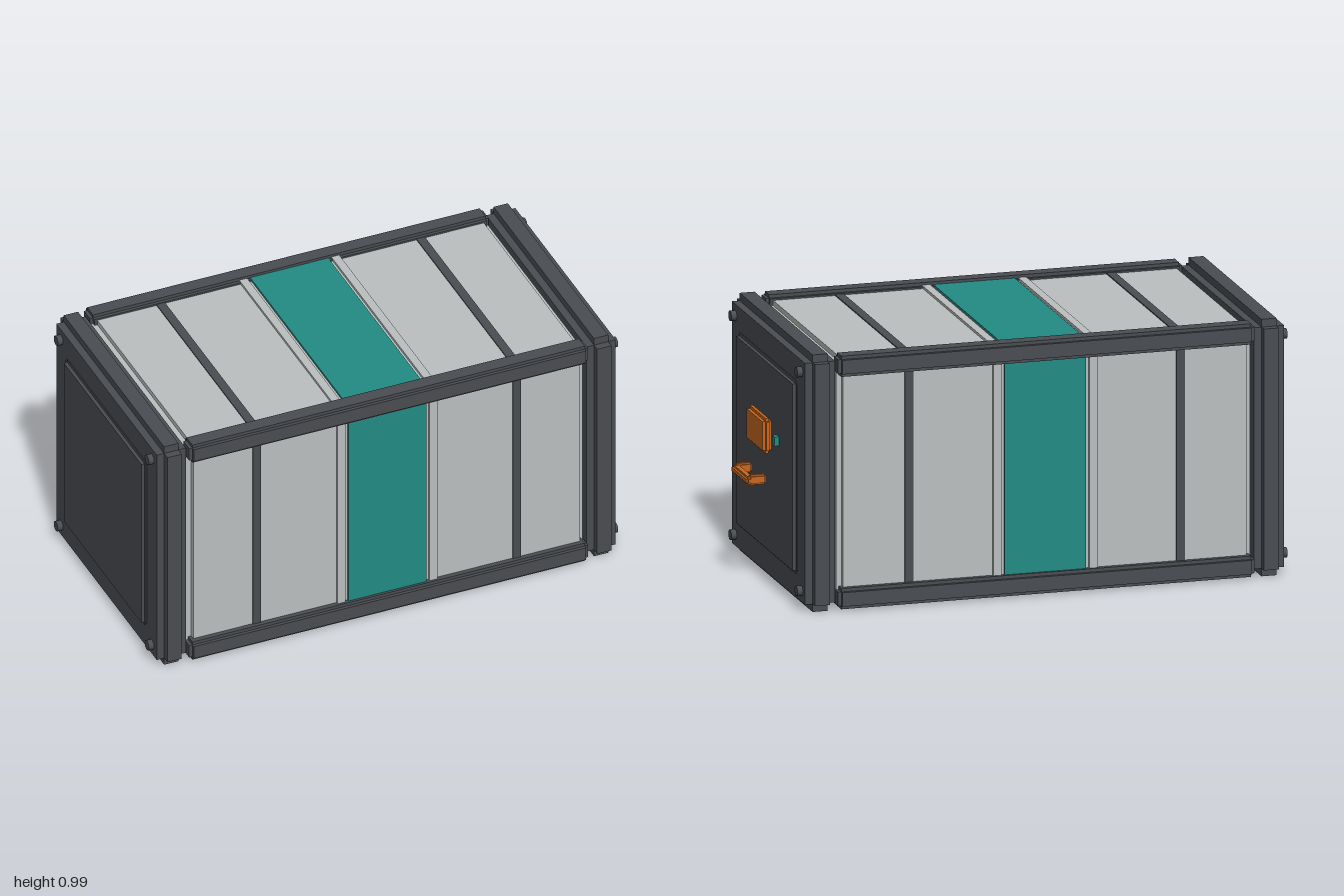
import * as THREE from 'three';
import { mergeGeometries } from 'three/addons/utils/BufferGeometryUtils.js';

const paint = (name, color) => {
  const m = new THREE.MeshStandardMaterial({ color });
  m.name = name;
  return m;
};

// Box with stepped edges: three crossing boxes, each trimmed by b on two axes
function steppedBox(w, h, d, b) {
  return mergeGeometries([
    new THREE.BoxGeometry(w, h - 2 * b, d - 2 * b),
    new THREE.BoxGeometry(w - 2 * b, h, d - 2 * b),
    new THREE.BoxGeometry(w - 2 * b, h - 2 * b, d),
  ]);
}

export function createModel() {
  const dark = paint('charcoal', 0x4a4d52);
  const light = paint('lightGrey', 0xbcc0c0);
  const teal = paint('teal', 0x238c85);
  const orange = paint('orange', 0xc96820);

  const model = new THREE.Group();
  model.name = 'cargoContainer';
  const body = new THREE.Group();
  body.name = 'containerBody';
  body.position.set(-0.047, 0.4975, 0);
  model.add(body);

  const add = (parent, name, geometry, material, x = 0, y = 0, z = 0) => {
    const mesh = new THREE.Mesh(geometry, material);
    mesh.name = name;
    mesh.position.set(x, y, z);
    parent.add(mesh);
    return mesh;
  };

  // Hull panels and the bands wrapped around them
  add(body, 'hullPanels', steppedBox(1.61, 0.936, 0.936, 0.02), light);
  add(body, 'centreBand', steppedBox(0.345, 0.954, 0.954, 0.014), teal);
  for (const s of [-1, 1]) {
    add(body, 'bandTrim', new THREE.BoxGeometry(0.032, 0.956, 0.956), light, s * 0.187);
    add(body, 'hullRib', new THREE.BoxGeometry(0.034, 0.945, 0.945), dark, s * 0.528);
  }

  // Long edge rails
  for (const sy of [-1, 1])
    for (const sz of [-1, 1])
      add(body, 'edgeRail', steppedBox(1.62, 0.08, 0.08, 0.013), dark, 0, sy * 0.4475, sz * 0.46);

  // End frames with recessed-edge panels and corner bolts
  const bolt = new THREE.CylinderGeometry(0.02, 0.02, 0.04, 16).rotateZ(Math.PI / 2);
  for (const s of [-1, 1]) {
    add(body, 'endFrame', steppedBox(0.118, 0.99, 0.99, 0.03), dark, s * 0.873);
    add(body, 'endPanel', steppedBox(0.05, 0.745, 0.745, 0.013), dark, s * 0.923);
    for (const sy of [-1, 1])
      for (const sz of [-1, 1])
        add(body, 'cornerBolt', bolt, dark, s * 0.933, sy * 0.4215, sz * 0.421);
  }

  // Feet under the corners
  for (const sx of [-1, 1])
    for (const sz of [-1, 1])
      add(body, 'foot', steppedBox(0.17, 0.04, 0.16, 0.006), dark, sx * 0.683, -0.472, sz * 0.365);

  // Lock plate, status light and pull handle on the +x end
  add(model, 'lockPlate', steppedBox(0.036, 0.135, 0.222, 0.012), orange, 0.921, 0.592, 0);
  add(model, 'statusLight', new THREE.BoxGeometry(0.022, 0.035, 0.035), teal, 0.908, 0.592, -0.172);
  const handle = new THREE.Group();
  handle.name = 'pullHandle';
  handle.position.set(0, 0.425, 0);
  model.add(handle);
  add(handle, 'handleBar', steppedBox(0.034, 0.03, 0.2, 0.008), orange, 0.983, -0.003, 0);
  for (const s of [-1, 1])
    add(handle, 'handlePost', steppedBox(0.065, 0.038, 0.026, 0.006), orange, 0.956, 0, s * 0.087);

  return model;
}
